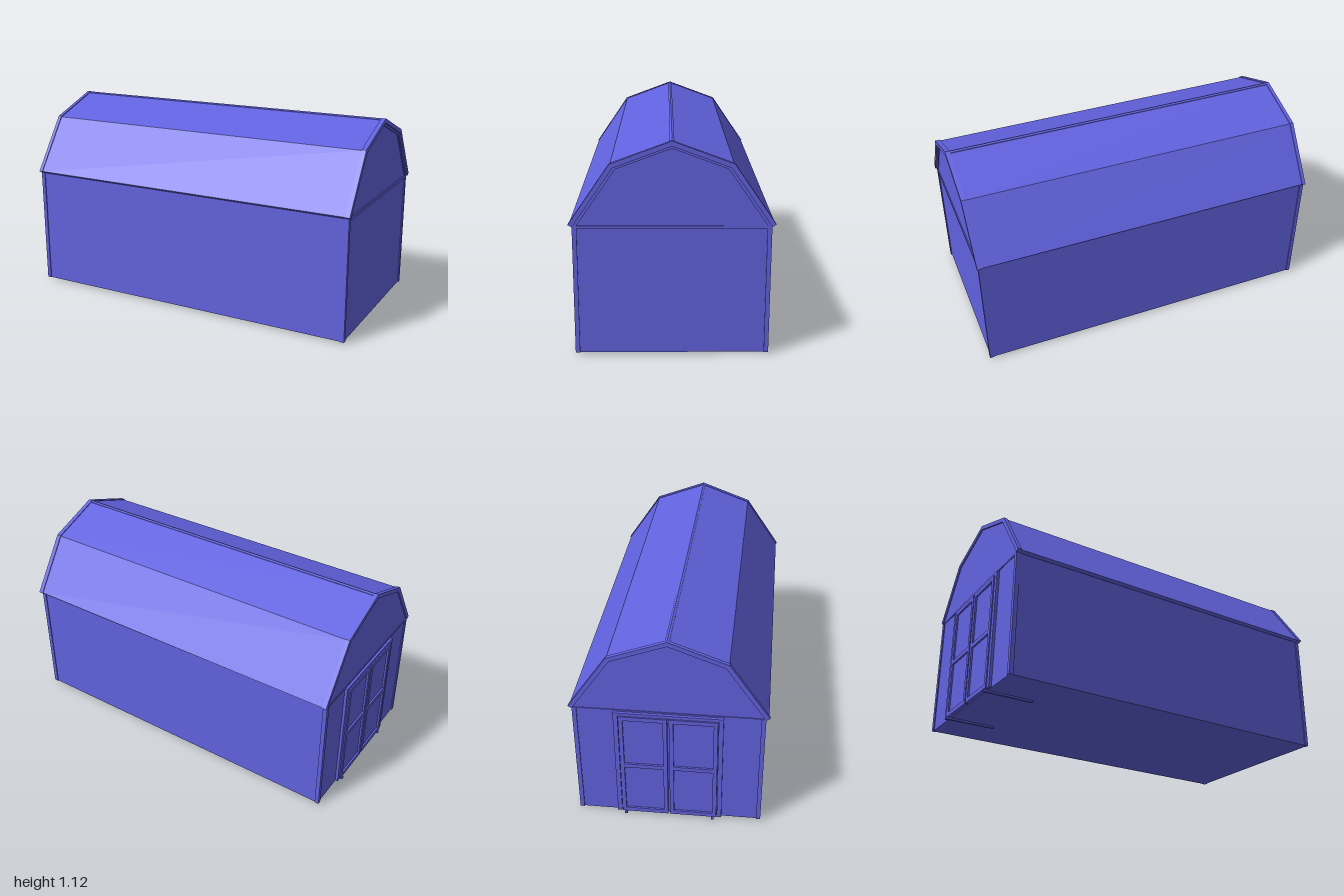
import * as THREE from 'three';

const material = new THREE.MeshStandardMaterial({ color: 0x6262e0, flatShading: true });

// Half cross-section of the gambrel roof as [z, y], from eave to ridge
const OUTER = [[0.512, 0.7], [0.304, 1.005], [0, 1.118]];
const PANEL = [[0.507, 0.7], [0.301, 1.001], [0, 1.113]];
const INNER = [[0.492, 0.688], [0.287, 0.986], [0, 1.093]];
const TRIM = [[0.472, 0.69], [0.274, 0.978], [0, 1.08]];

// Mirror a half section: +z eave, over the ridge, to the -z eave
const full = (half) => [...half, ...half.slice(0, -1).reverse().map(([z, y]) => [-z, y])];

// Arched band between two half sections
const band = (outer, inner) => [...full(outer), ...full(inner).reverse()];

export function createModel() {
  const group = new THREE.Group();

  function add(name, geometry) {
    const mesh = new THREE.Mesh(geometry, material);
    mesh.name = name;
    group.add(mesh);
    return mesh;
  }

  function box(name, x0, x1, y0, y1, z0, z1) {
    const mesh = add(name, new THREE.BoxGeometry(x1 - x0, y1 - y0, z1 - z0));
    mesh.position.set((x0 + x1) / 2, (y0 + y1) / 2, (z0 + z1) / 2);
  }

  // Extrude a [z, y] outline along x from x0 to x1
  function prism(name, points, x0, x1) {
    const shape = new THREE.Shape(points.map(([z, y]) => new THREE.Vector2(-z, y)));
    const geometry = new THREE.ExtrudeGeometry(shape, { depth: x1 - x0, bevelEnabled: false });
    geometry.rotateY(Math.PI / 2);
    geometry.translate(x0, 0, 0);
    add(name, geometry);
  }

  // Walls with both gables
  prism('walls', [[0.488, 0.01], [0.488, 0.69], ...full(INNER), [-0.488, 0.69], [-0.488, 0.01]], -0.975, 0.983);

  // Roof shell, raised rake boards at both ends and ridge cap
  prism('roof', band(PANEL, INNER), -0.962, 0.972);
  prism('rakeBoard', band(OUTER, INNER), -0.983, -0.962);
  prism('rakeBoard', band(OUTER, INNER), 0.972, 0.998);
  prism('ridgeCap', [[0.011, 1.105], [0.011, 1.112], [0, 1.117], [-0.011, 1.112], [-0.011, 1.105]], -0.962, 0.972);

  // Gable trim on the closed end
  prism('gableTrim', band(INNER, TRIM), 0.983, 0.989);
  box('gableBand', 0.983, 0.989, 0.676, 0.692, -0.475, 0.475);
  box('gableBand', -0.979, -0.975, 0.684, 0.692, -0.488, 0.488);

  // Corner boards wrap both faces of each corner
  for (const s of [-1, 1]) {
    const z = [s * 0.47, s * 0.493].sort((a, b) => a - b);
    box('cornerBoard', 0.965, 0.989, 0.01, 0.69, ...z);
    box('cornerBoard', -0.981, -0.958, 0.01, 0.69, ...z);
  }

  // Door surround
  for (const s of [-1, 1]) {
    box('doorJamb', -0.99, -0.97, 0.012, 0.68, s * 0.27 - 0.012, s * 0.27 + 0.012);
  }
  box('doorHeader', -0.99, -0.97, 0.662, 0.68, -0.258, 0.258);

  // Double doors: a panel each, framed by stiles and three rails
  for (const s of [-1, 1]) {
    const c = s * 0.13;
    box('doorPanel', -0.985, -0.97, 0.015, 0.66, c - 0.125, c + 0.125);
    for (const e of [-1, 1]) {
      box('doorStile', -0.995, -0.97, 0.015, 0.66, c + e * 0.114 - 0.011, c + e * 0.114 + 0.011);
    }
    for (const y of [0.027, 0.338, 0.648]) {
      box('doorRail', -0.995, -0.97, y - 0.012, y + 0.012, c - 0.104, c + 0.104);
    }
    // Skid runner under the door end
    box('skid', -1, -0.72, 0, 0.013, s * 0.235 - 0.007, s * 0.235 + 0.007);
  }

  return group;
}
